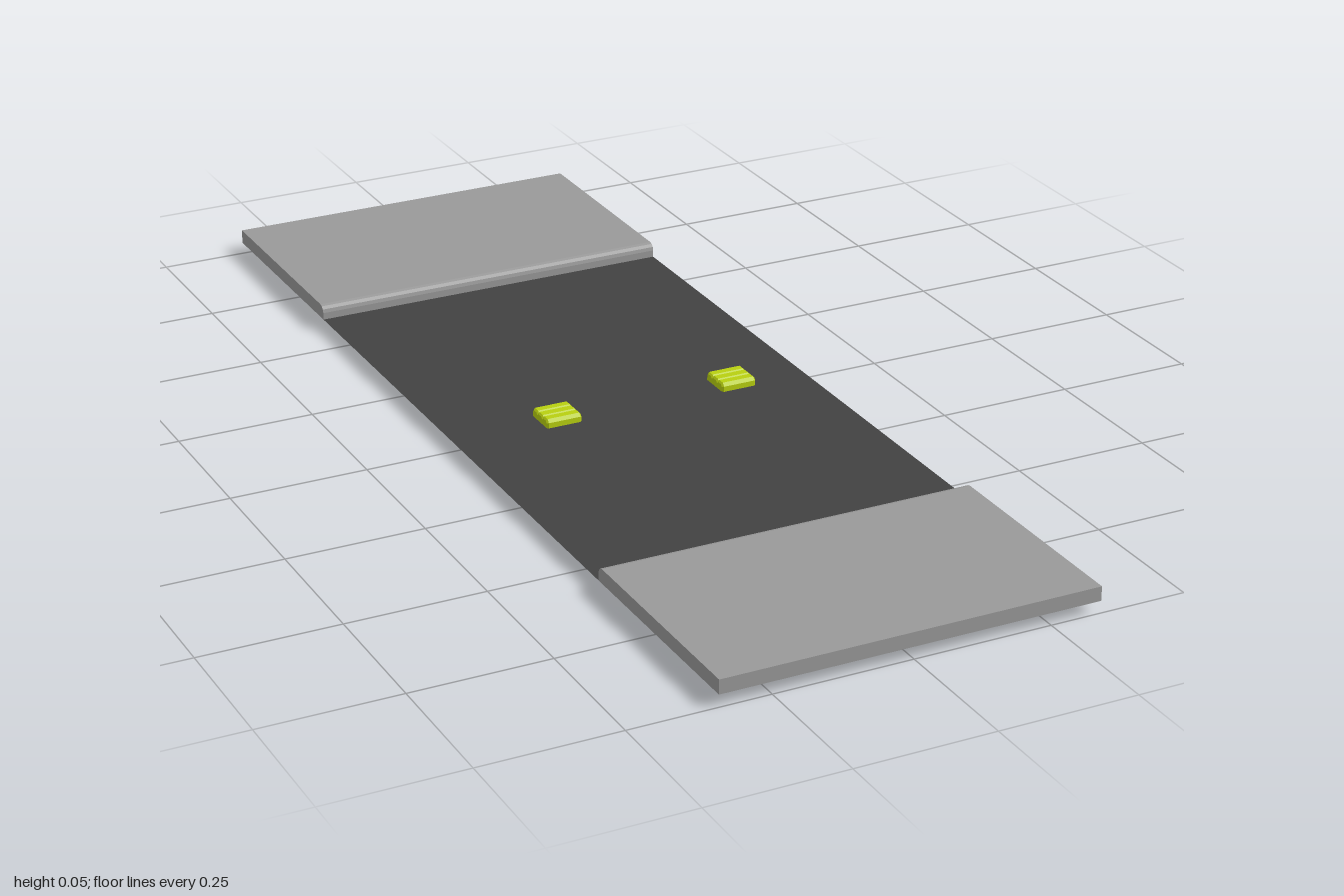
import * as THREE from 'three';

const HALF_W = 0.342, ROAD_Y = 0.022, TOP_Y = 0.048, CURB_Z = 0.583;

const material = (name, color, side = THREE.FrontSide) => {
  const m = new THREE.MeshStandardMaterial({ color, side });
  m.name = name;
  return m;
};

const addMesh = (parent, name, geometry, mat) => {
  const mesh = new THREE.Mesh(geometry, mat);
  mesh.name = name;
  parent.add(mesh);
  return mesh;
};

// Extrudes a side profile of [-z, y] points across the width, centred on x
function extrudeAcross(points, width, bevel = 0) {
  const shape = new THREE.Shape(points.map(([a, b]) => new THREE.Vector2(a, b)));
  const depth = width - 2 * bevel;
  return new THREE.ExtrudeGeometry(shape, {
    depth, bevelEnabled: bevel > 0, bevelThickness: bevel,
    bevelSize: bevel, bevelOffset: -bevel, bevelSegments: 1,
  }).translate(0, 0, -depth / 2).rotateY(Math.PI / 2);
}

// Removes the triangles lying on the base plane, leaving a shell open below
function openBottom(geometry, baseY) {
  const p = geometry.getAttribute('position');
  const kept = [];
  for (let i = 0; i < p.count; i += 3) {
    const onBase = [0, 1, 2].every((k) => Math.abs(p.getY(i + k) - baseY) < 1e-5);
    if (onBase) continue;
    for (let k = 0; k < 3; k++) kept.push(p.getX(i + k), p.getY(i + k), p.getZ(i + k));
  }
  const open = new THREE.BufferGeometry();
  open.setAttribute('position', new THREE.Float32BufferAttribute(kept, 3));
  open.computeVertexNormals();
  return open;
}

export function createModel() {
  const group = new THREE.Group();
  group.name = 'roadSection';
  const asphalt = material('asphalt', 0x424242, THREE.DoubleSide);
  const concrete = material('concrete', 0x999999, THREE.DoubleSide);
  const reflective = material('reflectiveYellowGreen', 0xb8d010);

  // Flat road surface between the kerbs
  const road = new THREE.PlaneGeometry(2 * HALF_W, 2 * CURB_Z).rotateX(-Math.PI / 2);
  addMesh(group, 'roadSurface', road, asphalt).position.y = ROAD_Y;

  // Pavement shells with a rounded kerb edge towards the road
  const r = 0.013;
  const profile = [[CURB_Z, ROAD_Y], [1, ROAD_Y], [1, TOP_Y]];
  for (let i = 0; i <= 3; i++) {
    const a = (i / 3) * Math.PI / 2;
    profile.push([CURB_Z + r - r * Math.sin(a), TOP_Y - r + r * Math.cos(a)]);
  }
  const pavement = openBottom(extrudeAcross(profile, 2 * HALF_W), ROAD_Y);
  addMesh(group, 'backPavement', pavement, concrete);
  addMesh(group, 'frontPavement', pavement, concrete).rotation.y = Math.PI;

  // Chamfered road studs with two shallow grooves across the top
  const studProfile = [
    [-0.026, 0], [0.026, 0], [0.031, 0.006], [0.031, 0.032], [0.026, 0.038],
    [0.013, 0.038], [0.010, 0.035], [0.007, 0.038],
    [-0.007, 0.038], [-0.010, 0.035], [-0.013, 0.038],
    [-0.026, 0.038], [-0.031, 0.032], [-0.031, 0.006],
  ];
  const stud = extrudeAcross(studProfile, 0.067, 0.003);
  [['rightStud', -0.139], ['leftStud', 0.205]].forEach(([name, x]) => {
    addMesh(group, name, stud, reflective).position.x = x;
  });

  return group;
}
